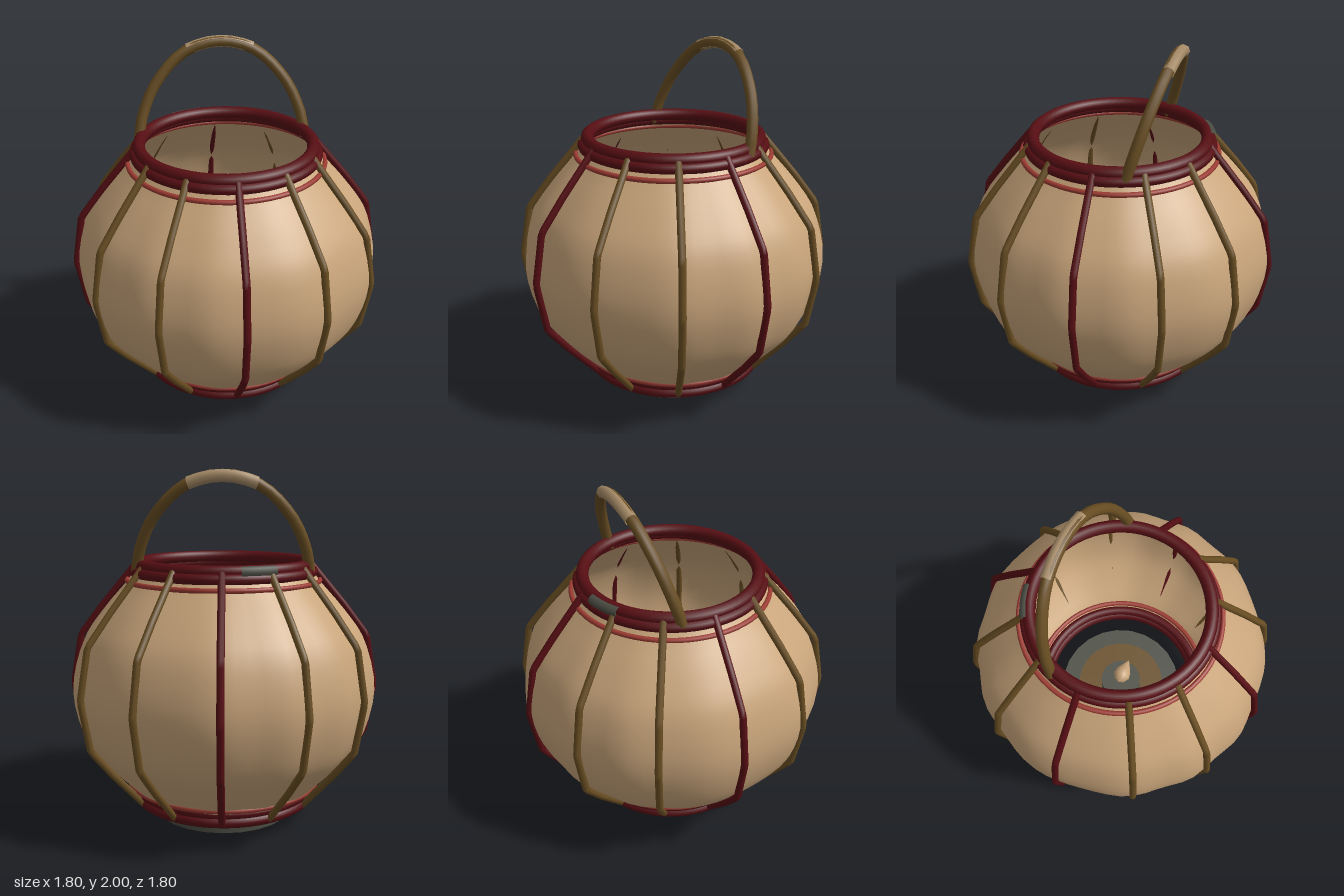
import * as THREE from 'three';

const mat = (name, color, side = THREE.FrontSide) => {
  const m = new THREE.MeshStandardMaterial({ color, side });
  m.name = name;
  return m;
};

export function createModel() {
  const paper = mat('paper', 0xc9a57b, THREE.DoubleSide);
  const darkRed = mat('dark red lacquer', 0x560e13);
  const brightRed = mat('bright red trim', 0x9c3b32);
  const bamboo = mat('bamboo', 0x684d22);
  const iron = mat('iron', 0x4a4c42);
  const wrap = mat('handle wrap', 0xa58a66);

  const model = new THREE.Group();
  const add = (name, geometry, material, parent = model) => {
    const mesh = new THREE.Mesh(geometry, material);
    mesh.name = name;
    parent.add(mesh);
    return mesh;
  };
  const group = (name) => {
    const g = new THREE.Group();
    g.name = name;
    model.add(g);
    return g;
  };
  const v2 = (p) => new THREE.Vector2(p[0], p[1]);

  // Paper shell: open at both ends, with slight crumpling
  const profile = new THREE.SplineCurve([
    [0.5, 0.1], [0.555, 0.19], [0.69, 0.33], [0.81, 0.5], [0.868, 0.77],
    [0.81, 1.04], [0.69, 1.22], [0.555, 1.375], [0.5, 1.45],
  ].map(v2)).getPoints(28);
  const shell = new THREE.LatheGeometry(profile, 72);
  const pos = shell.attributes.position;
  for (let i = 0; i < pos.count; i++) {
    const x = pos.getX(i), y = pos.getY(i), z = pos.getZ(i);
    const a = Math.atan2(z, x);
    const bulge = Math.sin(Math.PI * (y - 0.1) / 1.35);
    const k = 1 + (0.004 + 0.006 * bulge) * Math.sin(12 * a + 1.2 * Math.sin(3 * a));
    pos.setX(i, x * k);
    pos.setZ(i, z * k);
  }
  shell.computeVertexNormals();
  add('paperShell', shell, paper);

  // Hoops at the mouth and foot
  const hoops = group('hoops');
  const hoop = (name, radius, tube, y, material) => {
    const g = new THREE.TorusGeometry(radius, tube, 10, 64);
    g.rotateX(Math.PI / 2);
    add(name, g, material, hoops).position.y = y;
  };
  hoop('mouthHoopUpper', 0.485, 0.035, 1.475, darkRed);
  hoop('mouthHoopLower', 0.51, 0.03, 1.437, darkRed);
  hoop('footHoopLower', 0.505, 0.035, 0.115, darkRed);
  hoop('footHoopUpper', 0.515, 0.03, 0.165, darkRed);
  hoop('upperTrim', 0.552, 0.014, 1.385, brightRed);
  hoop('lowerTrim', 0.557, 0.016, 0.198, brightRed);

  // Iron clamp on the back of the mouth
  const clamp = new THREE.TorusGeometry(0.506, 0.031, 8, 8, 0.38);
  clamp.rotateZ(4.14);
  clamp.rotateX(Math.PI / 2);
  add('mouthClamp', clamp, iron).position.y = 1.475;

  // Twelve bent ribs, every third one lacquered
  const ribPoints = [[0.51, 0.1], [0.705, 0.32], [0.832, 0.48], [0.882, 0.77],
    [0.832, 1.06], [0.7, 1.235], [0.505, 1.47]];
  const ribPath = new THREE.CurvePath();
  for (let i = 1; i < ribPoints.length; i++) {
    const [a, b] = [ribPoints[i - 1], ribPoints[i]];
    ribPath.add(new THREE.LineCurve3(
      new THREE.Vector3(a[0], a[1], 0), new THREE.Vector3(b[0], b[1], 0)));
  }
  const ribGeo = new THREE.TubeGeometry(ribPath, 48, 0.02, 8);
  const ribs = group('ribs');
  for (let i = 0; i < 12; i++) {
    const red = i % 3 === 0;
    const rib = add(red ? 'lacqueredRib' : 'bambooRib', ribGeo, red ? darkRed : bamboo, ribs);
    rib.rotation.y = i * Math.PI / 6;
  }

  // Carrying handle leaning backward
  const handle = group('handle');
  const hp = (x, y) => new THREE.Vector3(x, y, -0.165 - (y - 1.44) * 0.275);
  const half = [[0.48, 1.44], [0.455, 1.57], [0.37, 1.75], [0.2, 1.915]];
  const arc = new THREE.CatmullRomCurve3([
    ...half.map(([x, y]) => hp(-x, y)), hp(0, 1.965),
    ...half.slice().reverse().map(([x, y]) => hp(x, y)),
  ]);
  add('handleBow', new THREE.TubeGeometry(arc, 24, 0.031, 10), bamboo, handle);
  for (const s of [-1, 1]) {
    add('handleEnd', new THREE.SphereGeometry(0.031, 10, 8), bamboo, handle)
      .position.copy(hp(0.48 * s, 1.44));
  }
  // Wrapped grip, set slightly toward the back
  const grip = new THREE.CatmullRomCurve3(
    [[-0.185, 1.925], [-0.09, 1.955], [0, 1.964], [0.09, 1.955], [0.185, 1.925]]
      .map(([x, y]) => hp(x, y).add(new THREE.Vector3(0, 0, -0.005))));
  const gripMat = wrap;
  gripMat.side = THREE.DoubleSide;
  add('handleGrip', new THREE.TubeGeometry(grip, 6, 0.034, 8), gripMat, handle);

  // Base plate, wooden dish and candle cup
  const disc = (name, r, y0, y1, material) =>
    add(name, new THREE.CylinderGeometry(r, r, y1 - y0, 24), material)
      .position.y = (y0 + y1) / 2;
  disc('basePlate', 0.4, 0, 0.08, iron);
  disc('woodenDish', 0.285, 0.08, 0.12, bamboo);
  disc('candleCup', 0.13, 0.12, 0.2, iron);

  // Teardrop flame lying toward the side
  const flame = new THREE.LatheGeometry([
    [0, -0.04], [0.035, -0.025], [0.055, 0.01], [0.05, 0.045], [0.025, 0.09], [0, 0.13],
  ].map(v2), 16);
  flame.rotateZ(-Math.PI / 2);
  add('flame', flame, paper).position.y = 0.25;

  return model;
}
